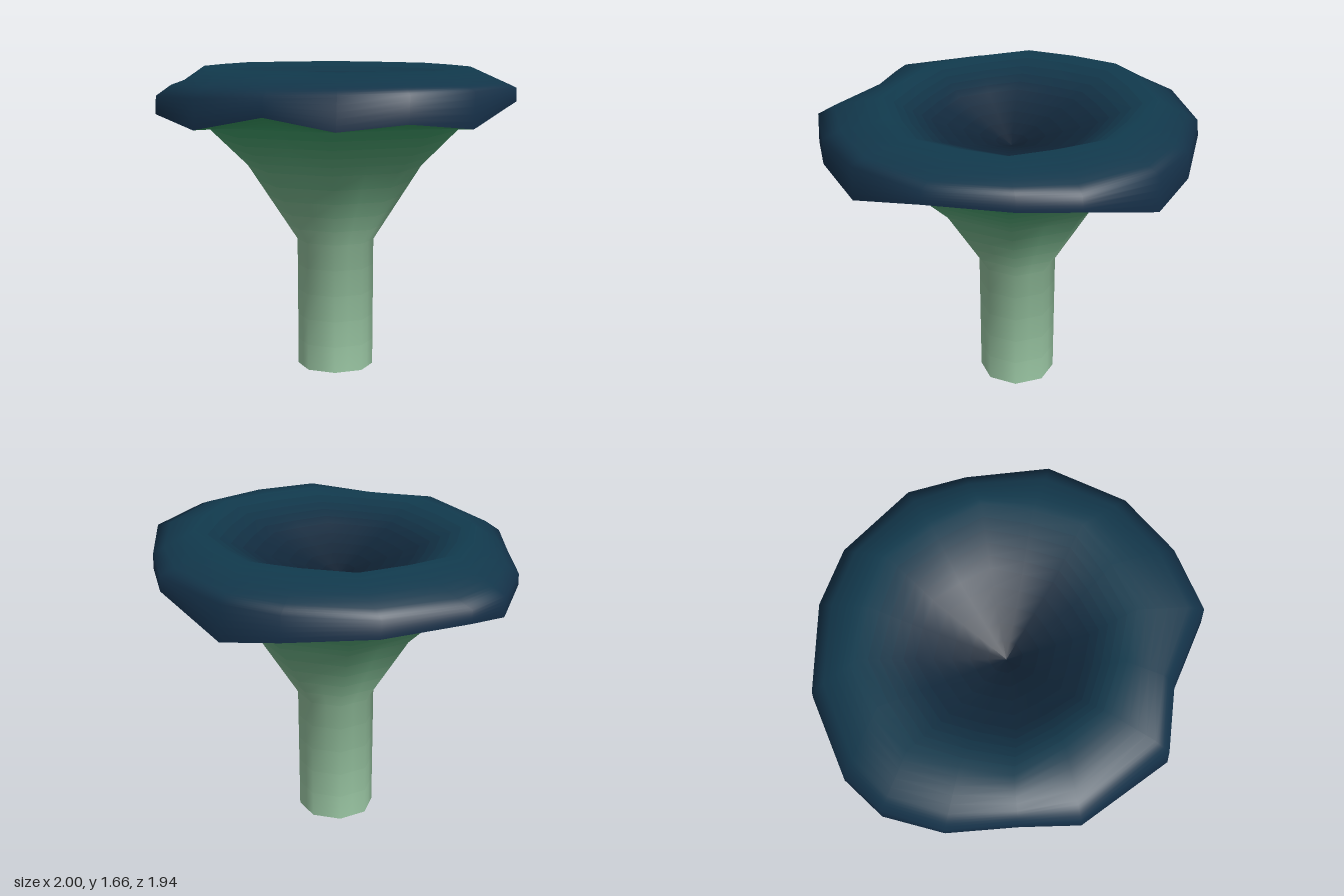
import * as THREE from 'three';

const SIDES = 16;
const STEPS = 5; // colour steps between two key rings

// Wavy rim of the cap: x, lower edge y, z
const RIM = [
  [0.99, 1.39, 0.25], [0.83, 1.43, 0.59], [0.59, 1.40, 0.85], [0.17, 1.45, 0.86],
  [-0.17, 1.38, 0.97], [-0.65, 1.42, 0.71], [-0.79, 1.45, 0.44], [-0.96, 1.44, 0.13],
  [-1.0, 1.39, -0.19], [-0.92, 1.43, -0.43], [-0.6, 1.42, -0.77], [-0.17, 1.39, -0.95],
  [0.15, 1.34, -0.97], [0.58, 1.47, -0.81], [0.78, 1.48, -0.57], [1.0, 1.50, -0.19],
];

// Octagonal ring: every second point lies near the middle of a side
function octagon(r, y, cz = -0.02, flat = 0.924, sz = 1) {
  return RIM.map((_, i) => {
    const a = THREE.MathUtils.degToRad(12 + (i * 360) / SIDES);
    const k = i % 2 ? r * flat : r;
    return [Math.cos(a) * k, y, Math.sin(a) * k * sz + cz];
  });
}

// Triangles joining consecutive rings
function ringIndex(rows) {
  const index = [];
  for (let j = 0; j < rows - 1; j++) {
    for (let i = 0; i < SIDES; i++) {
      const a = j * SIDES + i, b = j * SIDES + ((i + 1) % SIDES);
      index.push(a, a + SIDES, b, b, a + SIDES, b + SIDES);
    }
  }
  return index;
}

// Skin key rings [ring, colour, band name] with smooth normals; each band fades
// in narrow strips from its own colour to that of the next ring
function loft(name, keys, side) {
  const whole = new THREE.BufferGeometry();
  whole.setAttribute('position', new THREE.Float32BufferAttribute(keys.flatMap((k) => k[0].flat()), 3));
  whole.setIndex(ringIndex(keys.length));
  whole.computeVertexNormals();

  // Values of an attribute at fraction t between ring j and the next
  const row = (attribute, j, t) => {
    const n = SIDES * 3, { array } = whole.attributes[attribute];
    return Array.from({ length: n }, (_, i) => THREE.MathUtils.lerp(array[j * n + i], array[(j + 1) * n + i], t));
  };

  const group = new THREE.Group();
  group.name = name;
  for (let j = 0; j < keys.length - 1; j++) {
    const band = new THREE.Group();
    band.name = keys[j][2];
    for (let s = 0; s < STEPS; s++) {
      const geo = new THREE.BufferGeometry();
      for (const attribute of ['position', 'normal']) {
        const values = [...row(attribute, j, s / STEPS), ...row(attribute, j, (s + 1) / STEPS)];
        geo.setAttribute(attribute, new THREE.Float32BufferAttribute(values, 3));
      }
      geo.normalizeNormals();
      geo.setIndex(ringIndex(2));
      const color = new THREE.Color(keys[j][1]).lerp(new THREE.Color(keys[j + 1][1]), (s + 0.5) / STEPS);
      const strip = new THREE.Mesh(geo, new THREE.MeshStandardMaterial({ color, side }));
      strip.name = `${band.name}Strip`;
      band.add(strip);
    }
    group.add(band);
  }
  return group;
}

export function createModel() {
  // Hollow stem, open at the foot, widening into the underside of the cap
  const stem = loft('stem', [
    [octagon(0.207, 0), 0x9cc8a5, 'stalk'],
    [octagon(0.21, 0.71), 0x8cb896, 'flare'],
    [octagon(0.475, 1.12, -0.01), 0x64a87e, 'innerGills'],
    [octagon(0.73, 1.37, 0, 0.94), 0x3c9a66, 'outerGills'],
    [RIM, 0x36925d],
  ], THREE.DoubleSide);

  // Cap: upright edge, shoulder rounded at the front, crest and shallow bowl
  const edge = RIM.map(([x, , z]) => [x, 1.535 + 0.035 * x + 0.005 * z, z * 0.99]);
  const crest = octagon(0.74, 1.66, -0.03, 0.95, 0.92);
  const shoulder = edge.map(([x, y, z], i) => [
    x * 0.75 + crest[i][0] * 0.25,
    y * 0.75 + 1.66 * 0.25 + 0.03 * Math.max(0, z),
    z * 0.75 + crest[i][2] * 0.25,
  ]);
  const cap = loft('cap', [
    [RIM, 0x142c44, 'capEdge'],
    [edge, 0x143047, 'capShoulder'],
    [shoulder, 0x123549, 'capTop'],
    [crest, 0x113b4e, 'bowlWall'],
    [octagon(0.44, 1.525, 0, 0.94), 0x11293d, 'bowlFloor'],
    [octagon(0, 1.38, 0.02), 0x0f1e2e],
  ], THREE.FrontSide);

  const model = new THREE.Group();
  model.name = 'mushroom';
  model.add(stem, cap);
  return model;
}
